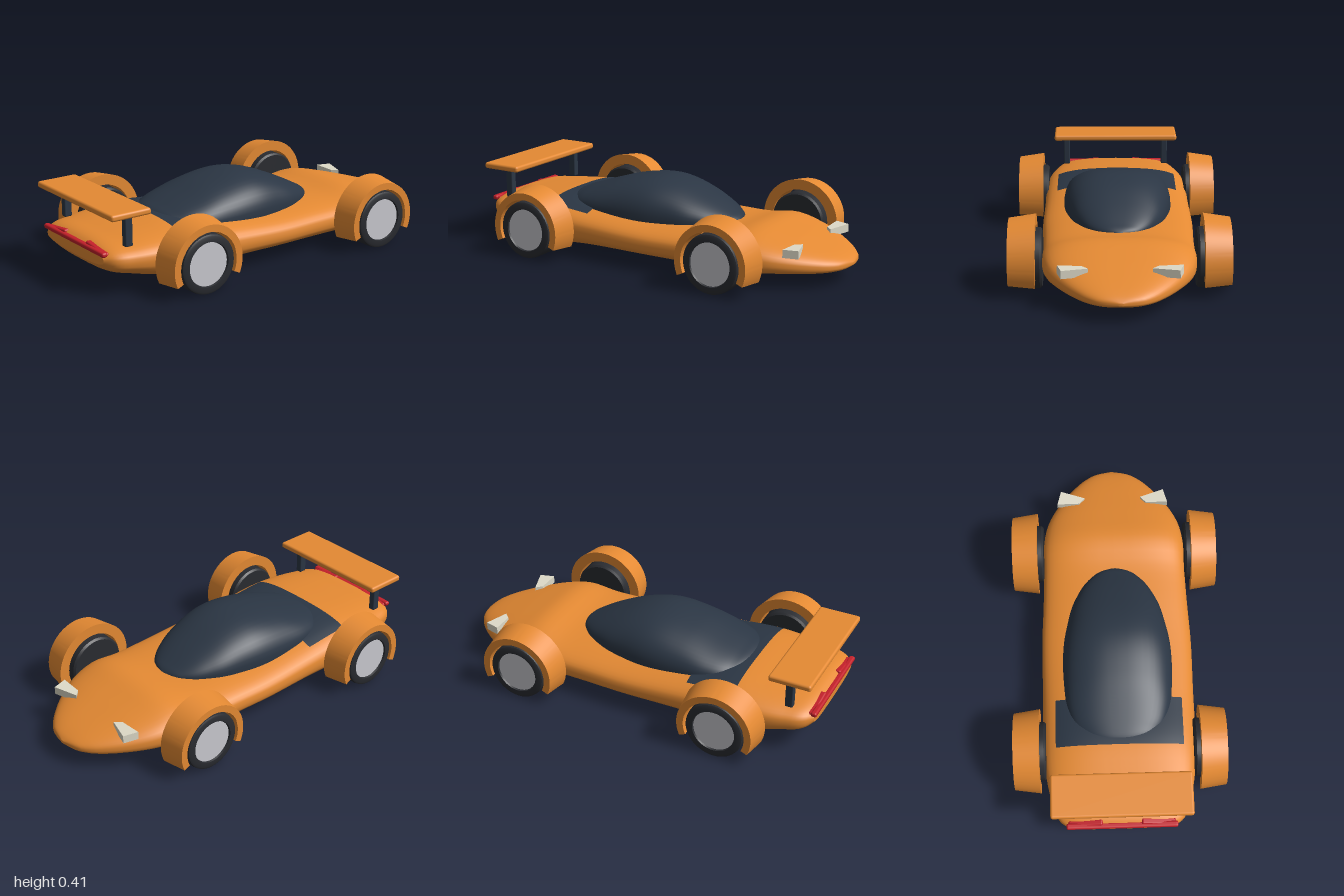
import * as THREE from 'three';
import { toCreasedNormals } from 'three/addons/utils/BufferGeometryUtils.js';
import { RoundedBoxGeometry } from 'three/addons/geometries/RoundedBoxGeometry.js';

const mat = (color, extra = {}) => new THREE.MeshStandardMaterial({ color, ...extra });
const orange = mat(0xe58a33);
const navy = mat(0x2b3644);
const panel = mat(0x2b3644, { side: THREE.DoubleSide });
const rubber = mat(0x2a2c31);
const alloy = mat(0xc9c9cf);
const red = mat(0xc4202a);
const lamp = mat(0xdedac8);

// Stations along the length: z, half width, top, widest height, bottom
const BODY = [
  [-1, 0.01, 0.108, 0.1, 0.094], [-0.985, 0.08, 0.122, 0.1, 0.083], [-0.95, 0.145, 0.14, 0.1, 0.073],
  [-0.9, 0.2, 0.158, 0.105, 0.065], [-0.8, 0.28, 0.188, 0.115, 0.06], [-0.68, 0.345, 0.222, 0.125, 0.05],
  [-0.55, 0.372, 0.252, 0.13, 0.033], [-0.4, 0.372, 0.23, 0.13, 0.033], [-0.2, 0.378, 0.228, 0.13, 0.037],
  [0, 0.387, 0.23, 0.13, 0.04], [0.3, 0.385, 0.25, 0.14, 0.035], [0.57, 0.385, 0.275, 0.15, 0.02],
  [0.7, 0.375, 0.265, 0.16, 0.032], [0.85, 0.345, 0.25, 0.165, 0.07], [0.95, 0.305, 0.235, 0.17, 0.105],
  [0.985, 0.26, 0.212, 0.175, 0.14],
];
const CANOPY = [
  [-0.38, 0.01, 0.225, 0.215, 0.19], [-0.365, 0.065, 0.24, 0.215, 0.19], [-0.33, 0.12, 0.26, 0.215, 0.19],
  [-0.2, 0.21, 0.325, 0.215, 0.19], [-0.05, 0.255, 0.383, 0.215, 0.19], [0.07, 0.275, 0.402, 0.215, 0.19],
  [0.25, 0.275, 0.378, 0.215, 0.19], [0.4, 0.256, 0.333, 0.22, 0.19], [0.5, 0.212, 0.3, 0.22, 0.19],
  [0.56, 0.14, 0.277, 0.22, 0.19], [0.59, 0.01, 0.25, 0.22, 0.19],
];

const spline = (table) => new THREE.CubicInterpolant(
  table.map((r) => r[0]), table.flatMap((r) => r.slice(1)), 4, new Float32Array(4));

// Closed smooth hull through superelliptic cross-sections
function loft(table, n, rows = 64, cols = 48) {
  const curve = spline(table);
  const z0 = table[0][0], z1 = table.at(-1)[0];
  const pos = [], idx = [];
  for (let i = 0; i <= rows; i++) {
    const z = z0 + (z1 - z0) * (0.5 - 0.5 * Math.cos(Math.PI * i / rows));
    const [w, top, mid, bottom] = curve.evaluate(z);
    for (let j = 0; j < cols; j++) {
      const a = 2 * Math.PI * j / cols, c = Math.cos(a), s = Math.sin(a);
      const x = w * Math.sign(c) * Math.abs(c) ** (2 / n);
      const h = s > 0 ? top - mid : mid - bottom;
      pos.push(x, mid + h * Math.sign(s) * Math.abs(s) ** (2 / n), z);
      if (i < rows) {
        const p = i * cols + j, q = i * cols + (j + 1) % cols;
        idx.push(p, q, p + cols, q, q + cols, p + cols);
      }
    }
  }
  // End caps
  const first = pos.length / 3, last = rows * cols;
  pos.push(0, table[0][3], z0, 0, table.at(-1)[3], z1);
  for (let j = 0; j < cols; j++) {
    const k = (j + 1) % cols;
    idx.push(first, k, j, first + 1, last + j, last + k);
  }
  const g = new THREE.BufferGeometry();
  g.setAttribute('position', new THREE.Float32BufferAttribute(pos, 3));
  g.setIndex(idx);
  g.computeVertexNormals();
  return g;
}

// Panel that follows the deck just above the body
function deckPanel() {
  const curve = spline(BODY), n = 2.7;
  const g = new THREE.PlaneGeometry(0.64, 0.25, 24, 10).rotateX(-Math.PI / 2).translate(0, 0, 0.465);
  const p = g.attributes.position;
  for (let i = 0; i < p.count; i++) {
    const [w, top, mid] = curve.evaluate(p.getZ(i));
    p.setY(i, mid + (top - mid) * (1 - Math.abs(p.getX(i) / w) ** n) ** (1 / n) + 0.004);
  }
  g.computeVertexNormals();
  return g;
}

// Arched wheel cover, tapering towards its outer face
function fenderGeometry() {
  const a = 0.42, outer = 0.212, inner = 0.158, depth = 0.13;
  const s = new THREE.Shape();
  s.absarc(0, 0, outer, -a, Math.PI + a, false);
  s.absarc(0, 0, inner, Math.PI + a, -a, true);
  s.closePath();
  const g = new THREE.ExtrudeGeometry(s, { depth, bevelEnabled: false, curveSegments: 40 });
  const p = g.attributes.position;
  for (let i = 0; i < p.count; i++) {
    const x = p.getX(i), y = p.getY(i);
    if (p.getZ(i) > depth / 2 && Math.hypot(x, y) > 0.19) p.setXY(i, x * 0.91, y * 0.91);
  }
  return toCreasedNormals(g, 0.6).rotateY(Math.PI / 2);
}

// Tyre with a hollow rim, turned around the x axis
function tyreGeometry() {
  const profile = [[0.02, -0.08], [0.138, -0.08], [0.147, -0.07], [0.148, 0.06], [0.145, 0.075],
    [0.136, 0.08], [0.11, 0.08], [0.106, 0.068], [0.02, 0.068]];
  const g = new THREE.LatheGeometry(profile.map(([r, y]) => new THREE.Vector2(r, y)), 48);
  return toCreasedNormals(g, 0.6).rotateZ(-Math.PI / 2);
}

function lampGeometry() {
  const s = new THREE.Shape([[0.15, 0.8], [0.18, 0.768], [0.295, 0.765], [0.275, 0.84]]
    .map(([x, y]) => new THREE.Vector2(x, y)));
  const g = new THREE.ExtrudeGeometry(s, { depth: 0.04, bevelEnabled: false });
  return g.rotateX(-Math.PI / 2);
}

export function createModel() {
  const car = new THREE.Group();
  car.name = 'sportsCar';
  const add = (parent, name, geometry, material, x = 0, y = 0, z = 0) => {
    const m = new THREE.Mesh(geometry, material);
    m.name = name;
    m.position.set(x, y, z);
    parent.add(m);
    return m;
  };

  add(car, 'body', loft(BODY, 2.7), orange);
  add(car, 'canopy', loft(CANOPY, 2.4), navy);
  add(car, 'engineCover', deckPanel(), panel);

  // Wheels and fenders, the right side turned half way round
  const tyre = tyreGeometry(), fender = fenderGeometry();
  const hub = new THREE.CylinderGeometry(0.107, 0.107, 0.01, 40).rotateZ(Math.PI / 2);
  for (const side of [1, -1]) {
    for (const [end, z] of [['front', -0.505], ['rear', 0.58]]) {
      const wheel = new THREE.Group();
      wheel.name = `${end}${side > 0 ? 'Left' : 'Right'}Wheel`;
      wheel.position.set(side * 0.45, 0.15, z);
      if (side < 0) wheel.rotation.y = Math.PI;
      add(wheel, 'tyre', tyre, rubber);
      add(wheel, 'hub', hub, alloy, 0.066);
      add(wheel, 'fender', fender, orange, -0.05);
      car.add(wheel);
    }
  }

  // Rear wing on two struts
  add(car, 'wing', new RoundedBoxGeometry(0.69, 0.032, 0.215, 3, 0.012), orange, 0, 0.401, 0.877);
  for (const x of [-0.278, 0.278]) {
    add(car, 'wingStrut', new RoundedBoxGeometry(0.034, 0.16, 0.04, 2, 0.006), navy, x, 0.312, 0.863);
  }

  // Tail light bar with angled ends
  add(car, 'tailLight', new RoundedBoxGeometry(0.55, 0.024, 0.03, 3, 0.01), red, 0, 0.209, 0.983);
  for (const side of [1, -1]) {
    const end = add(car, 'tailLightEnd', new RoundedBoxGeometry(0.17, 0.022, 0.03, 3, 0.009), red,
      side * 0.18, 0.212, 0.968);
    end.rotation.z = side * -0.12;
  }

  // Headlights, rising towards the outside
  const headlight = lampGeometry();
  for (const side of [1, -1]) {
    const g = side > 0 ? headlight : headlight.clone().rotateZ(Math.PI).translate(0, 0.04, 0);
    const m = add(car, 'headlight', g, lamp, 0, 0.157, 0);
    m.rotation.z = side * 0.03;
  }
  return car;
}
